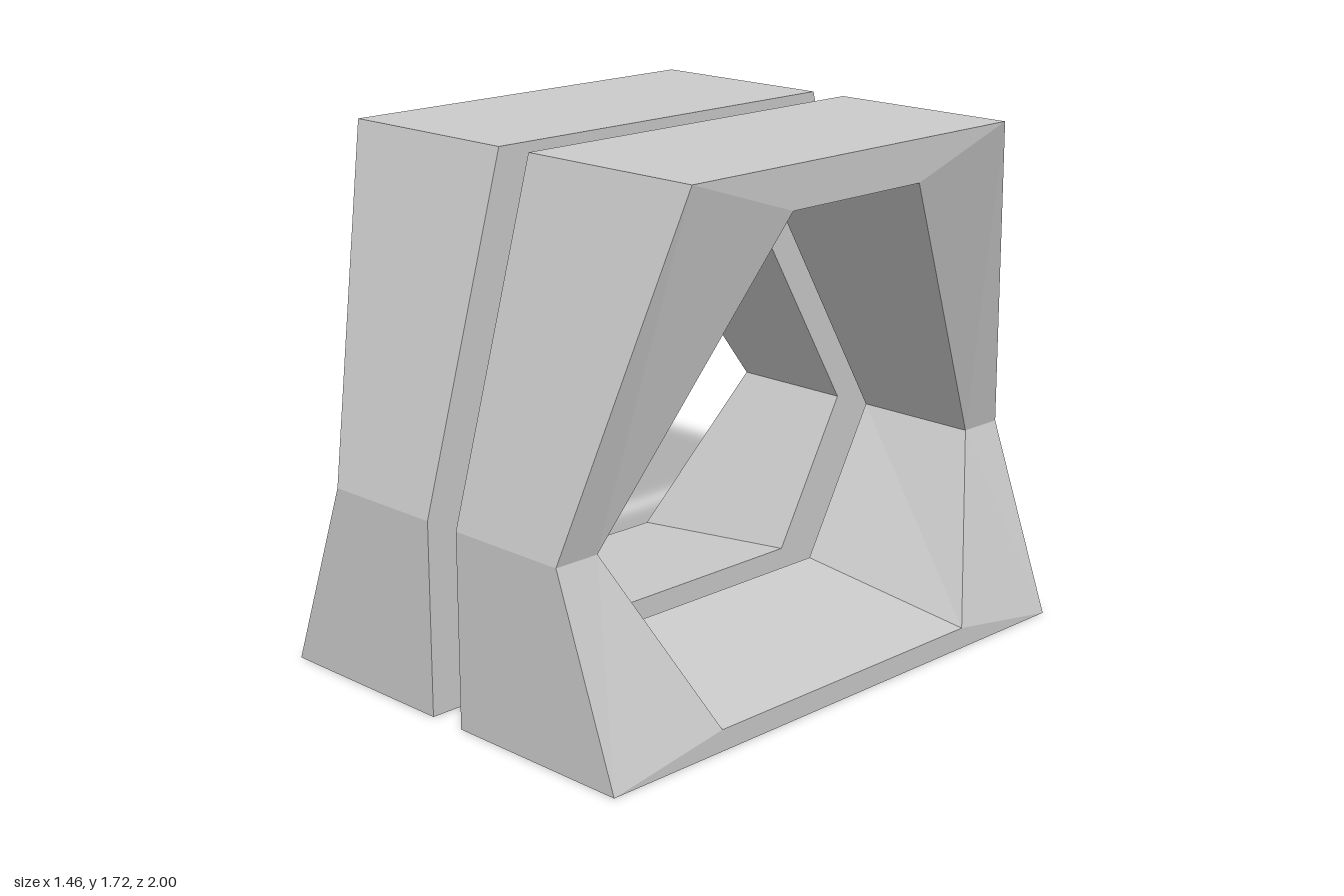
import * as THREE from 'three';

// Corner stations around the ring (going up the front, over the top, down the back):
// outer [z, y], opening [z, y at inner face, y at outer face], outer face x
const half = [
  { outer: [1, 0], hole: [0.56, 0.14, 0.07], x: 0.73 },
  { outer: [1, 0.63], hole: [0.84, 0.63, 0.63], x: 0.5 },
  { outer: [0.69, 1.715], hole: [0.28, 1.58, 1.58], x: 0.73 },
];
const INNER_X = 0.065;

// Four corners of the ring's cross-section at one station
function section({ outer: [z, y], hole: [hz, hyIn, hyOut], x }, side, dir) {
  return [
    [INNER_X, y, z], [x, y, z], [x, hyOut, hz], [INNER_X, hyIn, hz],
  ].map(([px, py, pz]) => [px * side, py, pz * dir]);
}

function ringGeometry(side) {
  const sections = [
    ...half.map((s) => section(s, side, 1)),
    ...[...half].reverse().map((s) => section(s, side, -1)),
  ];
  const positions = [];
  const tri = (a, b, c) => positions.push(...a, ...(side > 0 ? [...b, ...c] : [...c, ...b]));
  sections.forEach((from, i) => {
    const to = sections[(i + 1) % sections.length];
    for (let k = 0; k < 4; k++) {
      const n = (k + 1) % 4;
      // Fold each bent panel from its outer corner to the pinched waist
      if (i % 3 === 1) {
        tri(from[k], from[n], to[k]);
        tri(from[n], to[n], to[k]);
      } else {
        tri(from[k], from[n], to[n]);
        tri(from[k], to[n], to[k]);
      }
    }
  });
  const geometry = new THREE.BufferGeometry();
  geometry.setAttribute('position', new THREE.Float32BufferAttribute(positions, 3));
  geometry.computeVertexNormals();
  return geometry;
}

export function createModel() {
  const model = new THREE.Group();
  const material = new THREE.MeshStandardMaterial({ color: 0xcccccc, flatShading: true });
  // Two mirrored frames with a narrow gap between them
  for (const [name, side] of [['leftFrame', 1], ['rightFrame', -1]]) {
    const frame = new THREE.Mesh(ringGeometry(side), material);
    frame.name = name;
    model.add(frame);
  }
  return model;
}
